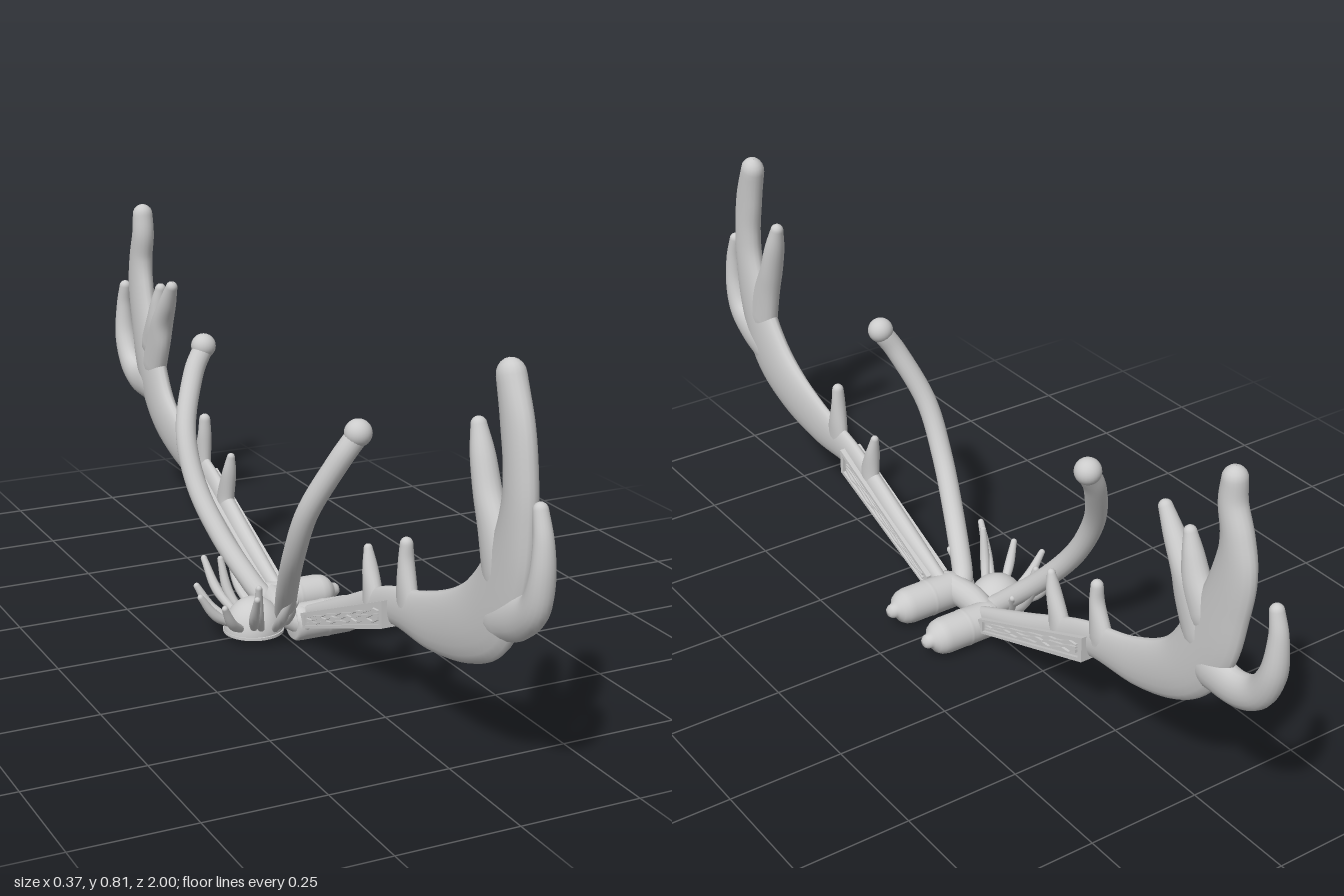
import * as THREE from 'three';

const MAT = new THREE.MeshStandardMaterial({ color: 0xcccccc, side: THREE.DoubleSide });
const PLANE_X = 0.036;   // plane in which both antlers lie
const HALF_DEPTH = 0.026; // greatest half thickness of an antler

function add(parent, name, geometry) {
  const mesh = new THREE.Mesh(geometry, MAT);
  mesh.name = name;
  parent.add(mesh);
  return mesh;
}

// Smooth limb with rounded ends. Points are [x, y, z, radius, depth radius]
function limb(points, steps = 40, sides = 18, ref = new THREE.Vector3(1, 0, 0)) {
  const path = new THREE.CatmullRomCurve3(points.map(p => new THREE.Vector3(p[0], p[1], p[2])), false, 'catmullrom');
  const size = new THREE.CatmullRomCurve3(points.map(p => new THREE.Vector3(p[3], p[4] ?? p[3], 0)), false, 'catmullrom');
  const rings = [];
  const CAP = 5;
  const ring = (t, angle, dir) => {
    const T = path.getTangent(t);
    const s = size.getPoint(t);
    const c = path.getPoint(t).addScaledVector(T, dir * s.x * Math.sin(angle));
    const B = ref.clone().addScaledVector(T, -ref.dot(T)).normalize();
    const N = B.clone().cross(T);
    const k = Math.max(Math.cos(angle), 0.02);
    rings.push({ c, N: N.multiplyScalar(s.x * k), B: B.multiplyScalar(s.y * k) });
  };
  for (let i = CAP; i > 0; i--) ring(0, (i / CAP) * Math.PI / 2, -1);
  for (let i = 0; i <= steps; i++) ring(i / steps, 0, 0);
  for (let i = 1; i <= CAP; i++) ring(1, (i / CAP) * Math.PI / 2, 1);

  const pos = [], index = [];
  rings.forEach((r, i) => {
    for (let j = 0; j < sides; j++) {
      const a = (j / sides) * Math.PI * 2;
      const p = r.c.clone().addScaledVector(r.N, Math.cos(a)).addScaledVector(r.B, Math.sin(a));
      pos.push(p.x, p.y, p.z);
      if (i === rings.length - 1) continue;
      const a0 = i * sides + j, b0 = i * sides + (j + 1) % sides;
      index.push(a0, b0, a0 + sides, b0, b0 + sides, a0 + sides);
    }
  });
  const g = new THREE.BufferGeometry();
  g.setAttribute('position', new THREE.Float32BufferAttribute(pos, 3));
  g.setIndex(index);
  g.computeVertexNormals();
  return g;
}

// Antler limbs as [distance from middle, height, radius, optional depth]
const FRONT_ANTLER = {
  beam: [[.08, .06, .02, .015], [.25, .13, .03, .02], [.435, .21, .037, .016], [.60, .235, .058, .018], [.73, .275, .072, .024],
    [.82, .335, .08], [.875, .435, .065], [.90, .54, .047], [.90, .62, .041], [.885, .70, .04], [.86, .78, .03]],
  outerProng: [[.967, .57, .014], [.98, .515, .019], [.98, .45, .024], [.96, .39, .032], [.91, .355, .042], [.84, .33, .045]],
  innerProng: [[.758, .665, .015], [.774, .615, .023], [.795, .55, .028], [.82, .49, .038], [.85, .41, .052]],
  outerTine: [[.506, .36, .013], [.506, .325, .016], [.51, .275, .027, .018], [.515, .23, .037, .016]],
  innerTine: [[.35, .30, .009], [.36, .26, .016], [.372, .21, .027, .018], [.372, .175, .03, .018]],
};
const BACK_ANTLER = {
  beam: [[.07, .06, .02, .015], [.25, .13, .03, .02], [.435, .21, .037, .016], [.60, .245, .054, .018], [.725, .305, .064, .024],
    [.80, .405, .07], [.84, .515, .058], [.858, .595, .05], [.855, .66, .037], [.838, .72, .029], [.838, .77, .024]],
  outerProng: [[.967, .567, .014], [.977, .515, .019], [.972, .44, .026], [.94, .38, .032], [.885, .353, .038], [.81, .355, .045]],
  innerProng: [[.66, .625, .014], [.688, .58, .021], [.72, .53, .027], [.747, .477, .042], [.78, .41, .048]],
  middleProng: [[.731, .607, .013], [.742, .567, .021], [.757, .515, .032], [.785, .46, .042]],
  outerTine: [[.469, .35, .013], [.471, .31, .016], [.485, .25, .03, .018], [.485, .22, .032, .016]],
  innerTine: [[.32, .30, .009], [.33, .26, .016], [.35, .20, .027, .018], [.35, .17, .03, .018]],
};

function antler(name, limbs, side) {
  const g = new THREE.Group();
  g.name = name;
  for (const [part, pts] of Object.entries(limbs)) {
    const path = pts.map(([z, y, r, d]) => [PLANE_X, y, side * z, r, Math.min(d ?? r, HALF_DEPTH)]);
    add(g, part, limb(path, part === 'beam' ? 70 : 30));
  }
  return g;
}

// Tapered carved sleeve around the root of an antler
function sleeve(name, side) {
  const g = new THREE.Group();
  g.name = name;
  const corner = (u, v) => { // u: root to outer end, v: bottom to top
    const low = 0.04 + 0.132 * u, high = 0.075 + 0.155 * u;
    return new THREE.Vector2(0.10 + 0.36 * u, low + (high - low) * v);
  };
  const quad = (u0, u1, v0, v1) => [corner(u0, v0), corner(u1, v0), corner(u1, v1), corner(u0, v1)];
  const slab = (part, pts, depth, hole) => {
    const shape = new THREE.Shape(pts);
    if (hole) shape.holes.push(new THREE.Path(hole));
    const geo = new THREE.ExtrudeGeometry(shape, { depth, bevelEnabled: false });
    geo.translate(0, 0, -depth / 2);
    const m = add(g, part, geo);
    m.rotation.y = -side * Math.PI / 2; // shape x runs outward along z
    m.position.x = PLANE_X;
  };
  slab('sleeveFrame', quad(0, 1, 0, 1), 0.054, quad(0.04, 0.97, 0.16, 0.84));
  slab('sleevePanel', quad(0.03, 0.98, 0.1, 0.9), 0.04);
  // jagged carved grain on the panel
  for (const [v, w, phase] of [[0.32, 0.09, 0], [0.52, 0.08, 2], [0.7, 0.07, 4]]) {
    const top = [], bottom = [];
    for (let i = 0; i <= 14; i++) {
      const u = 0.06 + 0.88 * i / 14;
      const wob = 0.05 * Math.sin(i * 2.3 + phase);
      bottom.push(corner(u, v - w * 0.5 + wob));
      top.unshift(corner(u, v + w * (0.5 + 0.4 * Math.sin(i * 3.7 + phase)) + wob));
    }
    slab('sleeveGrain', [...bottom, ...top], 0.051);
  }
  return g;
}

// Rounded handle with a short nose, lying along x
function handle(side) {
  const profile = [[0, 0], [.034, 0], [.039, .006], [.04, .02], [.04, .07], [.041, .075], [.041, .08], [.04, .085], [.04, .13],
    [.037, .145], [.030, .156], [.020, .163], [.016, .168], [.015, .175], [.010, .181], [0, .183]];
  const m = new THREE.Mesh(new THREE.LatheGeometry(profile.map(p => new THREE.Vector2(p[0], p[1])), 36), MAT);
  m.name = 'handle';
  m.rotation.z = -Math.PI / 2;
  m.position.set(0.002, 0.043, side * 0.07);
  return m;
}

export function createModel() {
  const model = new THREE.Group();
  model.name = 'antlerMount';

  model.add(antler('frontAntler', FRONT_ANTLER, 1), antler('backAntler', BACK_ANTLER, -1));

  // Flat-bottomed dome and the bridge to the handles
  const dome = add(model, 'baseDome', new THREE.SphereGeometry(1, 36, 14, 0, Math.PI * 2, 0, Math.PI / 2));
  dome.scale.set(0.065, 0.072, 0.062);
  dome.position.set(-0.055, 0.015, 0);
  const floor = add(model, 'baseFloor', new THREE.CylinderGeometry(1, 1, 0.006, 36));
  floor.scale.set(0.066, 1, 0.066);
  floor.position.set(-0.055, 0.015, 0);
  add(model, 'bridge', limb([[0.02, 0.05, -0.08, 0.032, 0.026], [0.01, 0.05, 0, 0.034, 0.03], [0.02, 0.05, 0.08, 0.032, 0.026]], 12));

  for (const s of [1, -1]) {
    model.add(sleeve(s > 0 ? 'frontSleeve' : 'backSleeve', s), handle(s));

    // Bowed pole with a knob at the tip
    const pole = [[-.005, .06, .06], [-.02, .085, .085], [-.055, .17, .17], [-.079, .27, .25], [-.078, .38, .31], [-.038, .49, .36], [-.006, .545, .377]];
    add(model, 'bowedPole', limb(pole.map(([x, y, z]) => [x, y, s * z, 0.023]), 48));
    add(model, 'poleKnob', new THREE.SphereGeometry(0.028, 24, 16)).position.set(-0.004, 0.551, s * 0.378);
  }

  // Curved spikes fanning out around the dome, [tip, root]
  const spikes = [
    [[-.178, .106, 0], [-.10, .03, 0]],
    [[-.155, .103, .075], [-.095, .03, .03]],
    [[-.11, .138, .14], [-.075, .035, .045]],
    [[-.088, .146, .10], [-.06, .03, .05]],
    [[-.04, .138, .16], [-.03, .03, .055]],
    [[-.012, .11, .12], [-.03, .03, .05]],
  ];
  for (const [tip, root] of spikes) {
    for (const s of tip[2] ? [1, -1] : [1]) {
      const mid = tip.map((v, i) => (v + root[i]) / 2 + [-0.006, -0.008, 0.006 * Math.sign(tip[2])][i]);
      const at = (p, r) => [p[0], p[1], p[2] * s, r];
      add(model, 'spike', limb([at(root, .008), at(mid, .011), at(tip, .007)], 14, 10, new THREE.Vector3(0.3, 0, 1).normalize()));
    }
  }
  return model;
}
